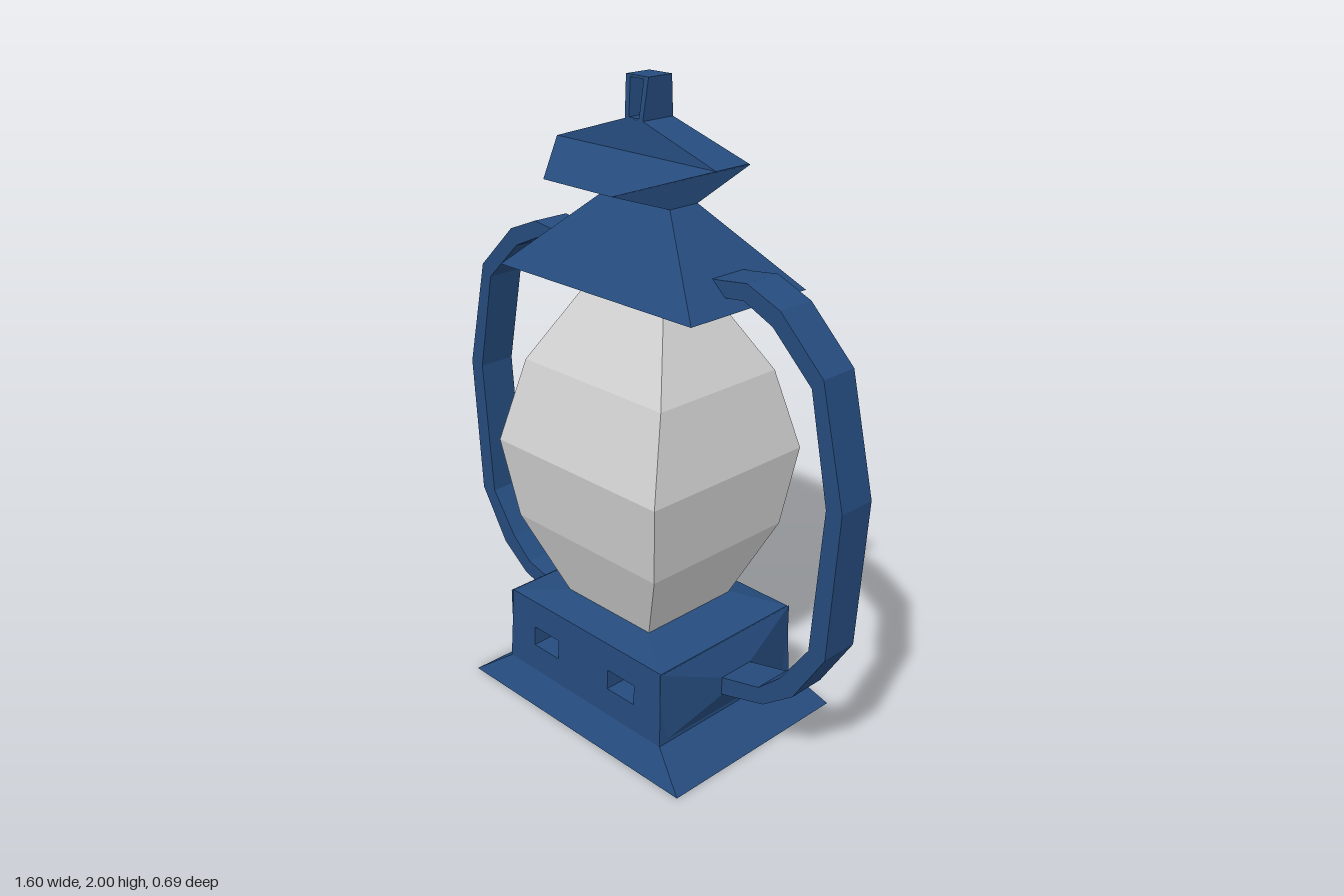
import * as THREE from 'three';

const paint = new THREE.MeshStandardMaterial({ color: 0x254b7d });
paint.name = 'blue paint';
const glass = new THREE.MeshStandardMaterial({ color: 0xd2d2d2 });
glass.name = 'pale glass';

// Closed solid through rectangular rings, each [y, half width, half depth]
function loft(rings) {
  const corners = rings.map(([y, w, d]) => [[w, y, d], [w, y, -d], [-w, y, -d], [-w, y, d]]);
  const pos = [];
  const quad = (a, b, c, d) => pos.push(...a, ...b, ...c, ...a, ...c, ...d);
  for (let r = 0; r < corners.length - 1; r++) {
    const lo = corners[r], hi = corners[r + 1];
    for (let i = 0; i < 4; i++) {
      const j = (i + 1) % 4;
      quad(lo[i], lo[j], hi[j], hi[i]);
    }
  }
  const [b, t] = [corners[0], corners[corners.length - 1]];
  quad(b[3], b[2], b[1], b[0]);
  quad(t[0], t[1], t[2], t[3]);
  const geo = new THREE.BufferGeometry();
  geo.setAttribute('position', new THREE.Float32BufferAttribute(pos, 3));
  geo.computeVertexNormals();
  return geo;
}

const outline = (points) => points.map(([x, y]) => new THREE.Vector2(x, y));

// Extrusion centred on z = 0
function slab(shape, depth) {
  return new THREE.ExtrudeGeometry(shape, { depth, bevelEnabled: false }).translate(0, 0, -depth / 2);
}

export function createModel() {
  const group = new THREE.Group();
  const add = (name, geo, mat = paint) => {
    const mesh = new THREE.Mesh(geo, mat);
    mesh.name = name;
    group.add(mesh);
    return mesh;
  };

  // Flared foot
  add('foot', loft([[0, 0.475, 0.345], [0.09, 0.35, 0.295]]));

  // Fuel box with two vents running front to back, slightly tapered in depth
  const front = new THREE.Shape(outline([[-0.35, 0.09], [0.35, 0.09], [0.342, 0.335], [-0.342, 0.335]]));
  for (const x of [-0.232, 0.115]) {
    front.holes.push(new THREE.Path(outline([[x, 0.18], [x, 0.245], [x + 0.117, 0.245], [x + 0.117, 0.18]])));
  }
  const box = slab(front, 2);
  const p = box.attributes.position;
  for (let i = 0; i < p.count; i++) {
    p.setZ(i, p.getZ(i) * THREE.MathUtils.mapLinear(p.getY(i), 0.09, 0.335, 0.295, 0.282));
  }
  box.computeVertexNormals();
  add('fuelBox', box);
  add('fuelBoxLid', loft([[0.335, 0.342, 0.282], [0.362, 0.18, 0.18]]));

  // Glass globe
  add('globe', loft([[0.355, 0.18, 0.175], [0.62, 0.303, 0.272], [0.88, 0.342, 0.31],
    [1.14, 0.292, 0.237], [1.415, 0.143, 0.08]]), glass);

  // Roof and the double-wedge chimney cap above it
  add('roof', loft([[1.415, 0.4, 0.233], [1.65, 0.14, 0.055]]));
  add('roofCollar', loft([[1.409, 0.18, 0.1], [1.416, 0.18, 0.1]]));
  add('chimneyCap', loft([[1.65, 0.14, 0.055], [1.725, 0.14, 0.273],
    [1.79, 0.322, 0.065], [1.88, 0.036, 0.059]]));

  // Hanging loop: tapered block with a slot through it
  const loop = new THREE.Shape(outline([[-0.036, 1.878], [0.036, 1.878], [0.045, 2], [-0.045, 2]]));
  loop.holes.push(new THREE.Path(outline([[-0.02, 1.885], [-0.027, 1.993], [0.027, 1.993], [0.02, 1.885]])));
  const loopGeo = slab(loop, 2);
  const lp = loopGeo.attributes.position;
  for (let i = 0; i < lp.count; i++) {
    lp.setZ(i, lp.getZ(i) * THREE.MathUtils.mapLinear(lp.getY(i), 1.878, 2, 0.059, 0.045));
  }
  loopGeo.computeVertexNormals();
  add('hangingLoop', loopGeo);

  // Side arms and the raised sockets they grow from
  const outer = [[0.28, 1.49], [0.34, 1.495], [0.44, 1.508], [0.56, 1.46], [0.715, 1.31], [0.8, 0.95],
    [0.77, 0.483], [0.66, 0.31], [0.55, 0.23], [0.37, 0.18]];
  const inner = [[0.36, 0.238], [0.53, 0.28], [0.61, 0.35], [0.71, 0.49], [0.745, 0.945],
    [0.677, 1.275], [0.535, 1.41], [0.43, 1.457], [0.28, 1.44]];
  for (const side of [1, -1]) {
    const label = side > 0 ? 'left' : 'right';
    const arm = new THREE.Shape(outline([...outer, ...inner].map(([x, y]) => [x * side, y])));
    add(label + 'Arm', slab(arm, 0.126));
    const socket = add(label + 'Socket', loft([[0.345, 0.1225, 0.288], [0.384, 0.032, 0.064]]));
    socket.rotation.z = -side * Math.PI / 2;
    socket.position.y = 0.2125;
  }
  return group;
}
